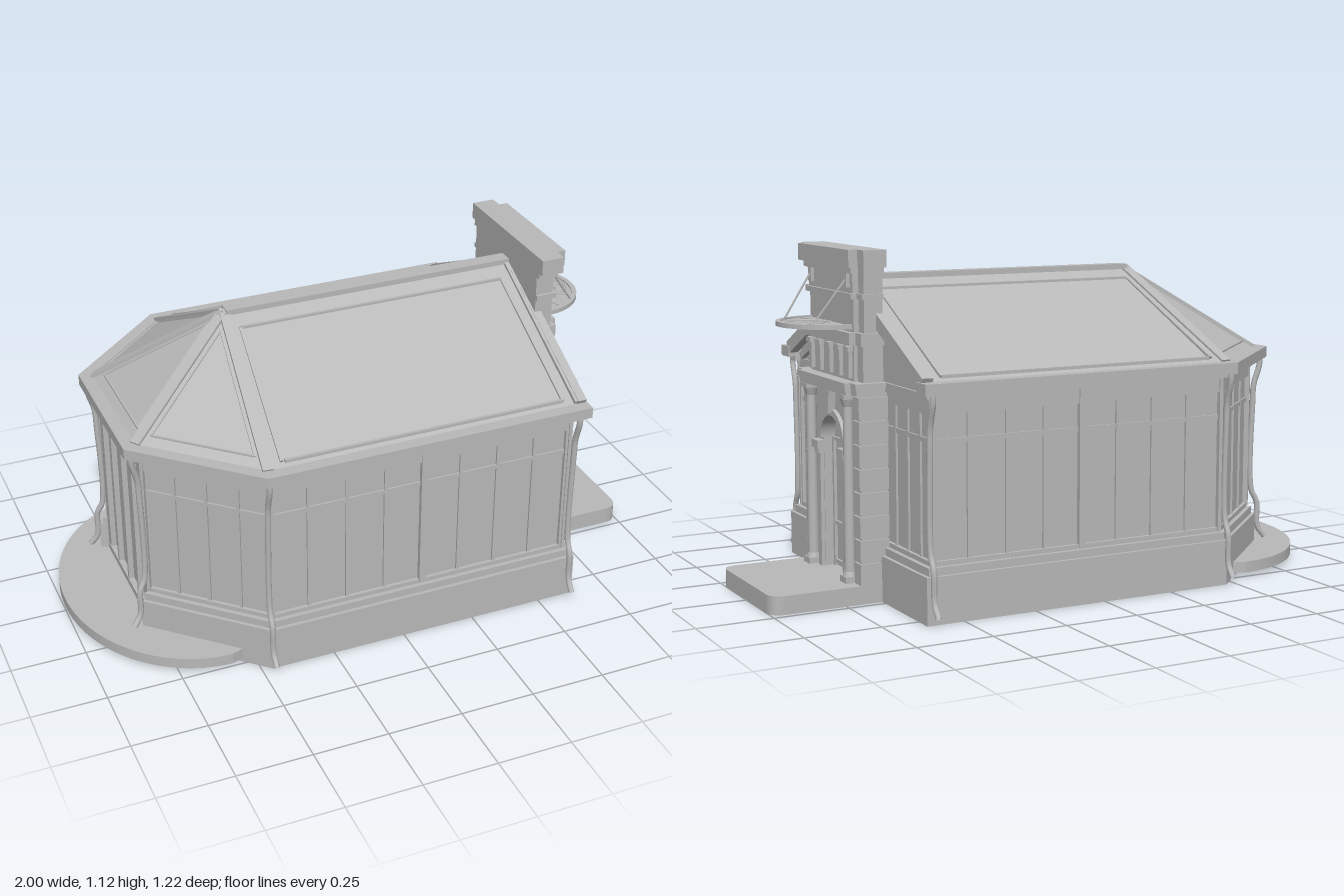
import * as THREE from 'three';

const stone = new THREE.MeshStandardMaterial({ color: 0xb8b8b8, side: THREE.DoubleSide });
stone.name = 'plain grey';

const V = (x, y, z) => new THREE.Vector3(x, y, z);

function add(parent, name, geo) {
  const m = new THREE.Mesh(geo, stone);
  m.name = name;
  parent.add(m);
  return m;
}
function box(parent, name, x0, x1, y0, y1, z0, z1) {
  const m = add(parent, name, new THREE.BoxGeometry(x1 - x0, y1 - y0, z1 - z0));
  m.position.set((x0 + x1) / 2, (y0 + y1) / 2, (z0 + z1) / 2);
  return m;
}
// Square bar between two points
function bar(parent, name, p, q, w, h = w) {
  const m = add(parent, name, new THREE.BoxGeometry(w, h, p.distanceTo(q)));
  m.position.copy(p).add(q).multiplyScalar(0.5);
  m.lookAt(q);
  return m;
}
function cylinder(parent, name, x, z, y0, y1, r0, r1, n = 16) {
  const m = add(parent, name, new THREE.CylinderGeometry(r1, r0, y1 - y0, n));
  m.position.set(x, (y0 + y1) / 2, z);
  return m;
}
// Plan shape (x, -z) raised from y0 to y1
function slab(parent, name, shape, y0, y1) {
  const g = new THREE.ExtrudeGeometry(shape, { depth: y1 - y0, bevelEnabled: false, curveSegments: 40 });
  g.rotateX(-Math.PI / 2);
  add(parent, name, g).position.y = y0;
}
// Elevation shape (z, y) extruded from x0 to x1
function facing(parent, name, shape, x0, x1) {
  const g = new THREE.ExtrudeGeometry(shape, { depth: x1 - x0, bevelEnabled: false, curveSegments: 20 });
  g.rotateY(Math.PI / 2);
  add(parent, name, g).position.x = x0;
}

// Plan of the hall: long room with a canted end
const plan = [[-0.455, 0.535], [0.6, 0.535], [0.6, -0.535], [-0.455, -0.535], [-0.775, -0.235], [-0.775, 0.235]]
  .map(p => new THREE.Vector2(...p));

function offsetPlan(d) {
  return plan.map((p, i) => {
    const normal = (a, b) => new THREE.Vector2(-(b.y - a.y), b.x - a.x).normalize();
    const n0 = normal(plan[(i + 5) % 6], p), n1 = normal(p, plan[(i + 1) % 6]);
    return p.clone().add(n0.clone().add(n1).multiplyScalar(d / (1 + n0.dot(n1))));
  });
}
// Moulding around the plan, leaving open the side that ends at corner "start"
function course(parent, name, y0, y1, out, inn, start, eastX) {
  const run = d => offsetPlan(d).map((_, i, a) => a[(start + i) % 6])
    .map(p => new THREE.Vector2(eastX && p.x > 0.5 ? eastX : p.x, -p.y));
  slab(parent, name, new THREE.Shape([...run(out), ...run(inn).reverse()]), y0, y1);
}

// Glazed wall between two plan corners
function glazedWall(parent, name, a, b, panes, heavyEvery) {
  const g = new THREE.Group(), L = a.distanceTo(b);
  g.name = name;
  g.position.set(a.x, 0, a.y);
  g.rotation.y = Math.atan2(a.y - b.y, b.x - a.x);
  box(g, 'glass', 0, L, 0.17, 0.7, -0.02, -0.012);
  for (const [y0, y1, z] of [[0.17, 0.19, 0], [0.55, 0.565, -0.006], [0.64, 0.7, 0]]) {
    box(g, 'rail', 0, L, y0, y1, -0.02, z);
  }
  for (let i = 0; i <= panes; i++) {
    const heavy = i % heavyEvery === 0, w = heavy ? 0.011 : 0.005, x = L * i / panes;
    box(g, 'mullion', Math.max(0, x - w), Math.min(L, x + w), 0.18, 0.69, -0.02, heavy ? 0.004 : -0.005);
  }
  parent.add(g);
}

function buildHall(root) {
  const hall = new THREE.Group();
  hall.name = 'hall';
  root.add(hall);
  course(hall, 'plinth', 0, 0.15, 0.027, -0.02, 5);
  course(hall, 'plinthLedge', 0.15, 0.175, 0.015, -0.02, 5);
  course(hall, 'eaveMoulding', 0.69, 0.71, 0.022, -0.02, 2, 0.62);
  course(hall, 'gutter', 0.705, 0.742, 0.055, -0.01, 2, 0.64);
  const names = ['frontWall', 'gableWall', 'backWall', 'backCantedWall', null, 'frontCantedWall'];
  const panes = [8, 12, 8, 4, 0, 4];
  names.forEach((n, i) => n && glazedWall(hall, n, plan[i], plan[(i + 1) % 6], panes[i], 4));

  // Garden door in the canted end
  const door = new THREE.Group();
  door.name = 'gardenDoor';
  hall.add(door);
  box(door, 'doorGlass', -0.757, -0.75, 0.03, 0.7, -0.235, 0.235);
  box(door, 'doorHead', -0.777, -0.75, 0.64, 0.7, -0.235, 0.235);
  box(door, 'doorSill', -0.777, -0.75, 0.04, 0.075, -0.235, 0.235);
  for (const z of [-0.22, -0.115, 0, 0.115, 0.22]) {
    const w = Math.abs(z) > 0.2 ? 0.016 : 0.007;
    box(door, 'doorPost', -0.775, -0.75, 0.04, 0.68, z - w, z + w);
  }

  // Gable triangle with sloping frame
  const tri = new THREE.Shape([[-0.535, 0.69], [0.535, 0.69], [0.535, 0.74], [0, 1.01], [-0.535, 0.74]]
    .map(p => new THREE.Vector2(...p)));
  facing(hall, 'gable', tri, 0.58, 0.592);
  for (const s of [-1, 1]) {
    bar(hall, 'gableFrame', V(0.597, 0.71, s * 0.5), V(0.597, 0.94, s * 0.04), 0.02, 0.025);
    bar(hall, 'bargeBoard', V(0.62, 0.735, s * 0.545), V(0.62, 1.005, 0), 0.03, 0.045);
  }
}

function buildRoof(root) {
  const roof = new THREE.Group();
  roof.name = 'roof';
  root.add(roof);
  const e = offsetPlan(0.012).map(p => V(p.x > 0.5 ? 0.635 : p.x, 0.742, p.y));
  const top = V(-0.4, 1.02, 0), end = V(0.635, 1.02, 0);
  const tris = [e[0], e[1], end, e[0], end, top, e[2], e[3], top, e[2], top, end,
    e[3], e[4], top, e[4], e[5], top, e[5], e[0], top];
  const g = new THREE.BufferGeometry().setFromPoints(tris);
  g.computeVertexNormals();
  add(roof, 'roofSkin', g);
  for (const i of [0, 3, 4, 5]) bar(roof, 'hip', e[i], top, 0.035, 0.012);
  bar(roof, 'ridge', top, end, 0.05, 0.018);
  // Raised edging of the long slopes
  for (const s of [-1, 1]) {
    const at = (x, t) => V(x, 0.746 + 0.274 * t, s * 0.547 * (1 - t));
    bar(roof, 'topEdging', at(-0.37, 0.87), at(0.56, 0.87), 0.01);
    bar(roof, 'lowEdging', at(-0.4, 0.03), at(0.56, 0.03), 0.01);
    bar(roof, 'endEdging', at(0.56, 0.03), at(0.56, 0.87), 0.01);
    bar(roof, 'hipEdging', at(-0.41, 0.03), at(-0.37, 0.87), 0.01);
    bar(roof, 'verge', at(0.615, 0), at(0.615, 1), 0.04, 0.018);
  }
  // Edging of the canted slopes
  for (const [a, b] of [[3, 4], [4, 5], [5, 0]]) {
    const mid = e[a].clone().add(e[b]).add(top).divideScalar(3);
    const c = [e[a], e[b], top].map(p => p.clone().lerp(mid, 0.22));
    c.forEach((p, i) => bar(roof, 'cantedEdging', p, c[(i + 1) % 3], 0.007));
  }
}

// Rainwater pipes at every corner, swept from the gutter to the ground
function buildPipes(root) {
  const profile = [[0.035, 0.72], [0.035, 0.68], [0.015, 0.61], [0.012, 0.55], [0.012, 0.22], [0.033, 0.17], [0.038, 0.07], [0.065, 0.03]];
  for (const s of [-1, 1]) {
    for (const [x, z, dx, dz] of [[-0.465, 0.535, 0, 1], [0.607, 0.535, 0, 1], [-0.775, 0.24, -0.9, 0.35]]) {
      const lift = dx ? 0.04 : 0;
      const pts = profile.map(([d, y]) => V(x + dx * d, Math.max(y, y * 0.9 + lift), s * (z + dz * d)));
      add(root, 'downpipe', new THREE.TubeGeometry(new THREE.CatmullRomCurve3(pts), 40, 0.01, 8));
    }
  }
}

function buildPortico(root) {
  const p = new THREE.Group();
  p.name = 'portico';
  root.add(p);
  // Arched front
  const wall = new THREE.Shape([[-0.185, 0.05], [0.185, 0.05], [0.185, 0.67], [-0.185, 0.67]].map(q => new THREE.Vector2(...q)));
  const arch = new THREE.Path();
  arch.moveTo(-0.085, 0.06).lineTo(0.085, 0.06).lineTo(0.085, 0.49);
  arch.absarc(0, 0.49, 0.085, 0, Math.PI, false);
  wall.holes.push(arch);
  facing(p, 'archedFront', wall, 0.62, 0.69);
  const ring = new THREE.Shape().absarc(0, 0.49, 0.107, 0, Math.PI, false);
  ring.absarc(0, 0.49, 0.085, Math.PI, 0, true);
  facing(p, 'archMoulding', ring, 0.69, 0.703);
  facing(p, 'keystone', new THREE.Shape([[-0.012, 0.585], [0.012, 0.585], [0.02, 0.66], [-0.02, 0.66]].map(q => new THREE.Vector2(...q))), 0.69, 0.715);
  // Double door
  box(p, 'doorLeaves', 0.64, 0.652, 0.05, 0.6, -0.09, 0.09);
  for (const z of [-0.08, 0, 0.08]) box(p, 'doorStile', 0.65, 0.662, 0.06, z ? 0.49 : 0.575, z - 0.007, z + 0.007);
  for (const y of [0.07, 0.2, 0.48]) box(p, 'doorRail', 0.65, 0.66, y, y + 0.012, -0.085, 0.085);

  for (const s of [-1, 1]) {
    const side = (n, x0, x1, y0, y1, a, b) => box(p, n, x0, x1, y0, y1, Math.min(s * a, s * b), Math.max(s * a, s * b));
    // Rusticated outer pier
    side('pierCore', 0.6, 0.692, 0, 0.67, 0.18, 0.222);
    for (let i = 0; i < 8; i++) side('pierBlock', 0.6, 0.7, 0.06 + i * 0.076, 0.128 + i * 0.076, 0.176, 0.229);
    // Door jamb, impost and column
    side('jamb', 0.69, 0.703, 0.06, 0.44, 0.088, 0.115);
    side('impost', 0.688, 0.71, 0.44, 0.455, 0.084, 0.122);
    side('impostCap', 0.688, 0.716, 0.455, 0.482, 0.08, 0.132);
    cylinder(p, 'columnShaft', 0.705, s * 0.155, 0.08, 0.63, 0.019, 0.016);
    side('columnBase', 0.68, 0.73, 0.06, 0.08, 0.13, 0.18);
    cylinder(p, 'columnRing', 0.705, s * 0.155, 0.08, 0.095, 0.024, 0.02);
    cylinder(p, 'columnNeck', 0.705, s * 0.155, 0.625, 0.65, 0.017, 0.025);
    side('columnCap', 0.68, 0.73, 0.65, 0.665, 0.13, 0.18);
    // Canopy hangers
    side('hangerPlate', 0.695, 0.707, 1.0, 1.045, 0.135, 0.16);
    bar(p, 'hangerRod', V(0.705, 1.025, s * 0.147), V(0.805, 0.885, s * 0.12), 0.005);
  }

  // Stacked bands: y0, y1, outer half width, outer front, inner half width, inner front
  const bands = [
    ['entablature', 0.665, 0.685, 0.233, 0.708, 0.19, 0.728],
    ['entablatureCornice', 0.685, 0.705, 0.243, 0.715, 0.2, 0.735],
    ['frieze', 0.705, 0.82, 0.222, 0.68, 0.178, 0.692],
    ['friezeCornice', 0.82, 0.86, 0.232, 0.69, 0.187, 0.712],
    ['attic', 0.86, 0.97, 0.222, 0.675, 0.18, 0.692],
    ['atticBand', 0.965, 0.982, 0.232, 0.685, 0.19, 0.705],
    ['parapet', 0.982, 1.05, 0.222, 0.675, 0.18, 0.695],
    ['parapetNeck', 1.045, 1.065, 0.238, 0.682, 0.195, 0.707],
    ['parapetCornice', 1.065, 1.12, 0.257, 0.69, 0.21, 0.72]];
  for (const [n, y0, y1, w, x, w2, x2] of bands) {
    box(p, n, 0.612, x, y0, y1, -w, w);
    box(p, n + 'Centre', 0.63, x2, y0, y1, -w2, w2);
  }
  for (const z of [-0.155, -0.08, 0, 0.08, 0.155]) {
    box(p, 'friezeBracket', 0.69, 0.705, 0.715, 0.8, z - 0.01, z + 0.01);
    box(p, 'bracketCap', 0.69, 0.712, 0.8, 0.815, z - 0.018, z + 0.018);
  }

  // Half-round canopy
  const half = (rx, rz) => new THREE.Shape().absellipse(0.695, 0, rx, rz, -Math.PI / 2, Math.PI / 2, false);
  slab(p, 'canopySheet', half(0.17, 0.17), 0.876, 0.88);
  const rim = half(0.175, 0.175);
  rim.holes.push(new THREE.Path(half(0.158, 0.158).getPoints(30)));
  slab(p, 'canopyRim', rim, 0.87, 0.885);
  add(p, 'canopyRing', new THREE.TorusGeometry(0.06, 0.006, 6, 32).rotateX(Math.PI / 2)).position.set(0.78, 0.88, 0);
  for (let i = -2; i <= 2; i++) {
    const a = i * 0.6;
    bar(p, 'canopyRib', V(0.7, 0.88, 0), V(0.695 + 0.165 * Math.cos(a), 0.88, 0.165 * Math.sin(a)), 0.006);
  }
}

function buildTerraces(root) {
  const step = new THREE.Shape();
  step.moveTo(0.62, -0.23).lineTo(0.95, -0.23).quadraticCurveTo(1, -0.23, 1, -0.18);
  step.lineTo(1, 0.18).quadraticCurveTo(1, 0.23, 0.95, 0.23).lineTo(0.62, 0.23);
  slab(root, 'entranceStep', step, 0, 0.06);
  const terrace = new THREE.Shape().absellipse(-0.58, 0, 0.42, 0.505, Math.PI / 2, Math.PI * 1.5, false);
  terrace.lineTo(-0.54, -0.49).lineTo(-0.54, 0.49);
  slab(root, 'gardenTerrace', terrace, 0.015, 0.052);
}

export function createModel() {
  const root = new THREE.Group();
  root.name = 'gardenPavilion';
  buildHall(root);
  buildRoof(root);
  buildPipes(root);
  buildPortico(root);
  buildTerraces(root);
  return root;
}
